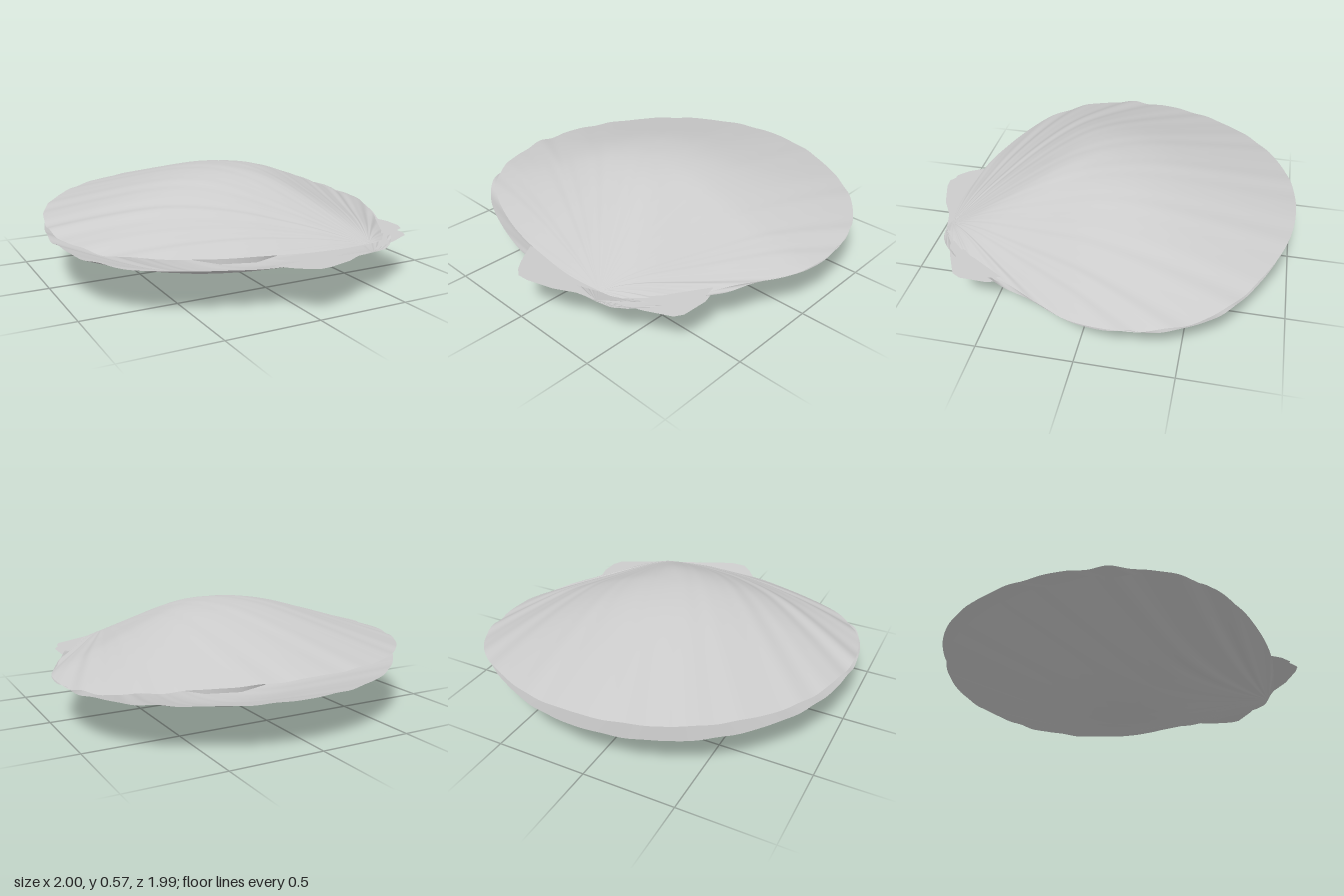
import * as THREE from 'three';

const CENTRE = [0, 0.05]; // x, z of the highest point of the dome

// Rim from the hinge round to the hinge: x, z, upper rim height, lower rim height
const RIM = [
  [0.4, 0.82, 0.27, 0.235], [0.2, 0.84, 0.275, 0.235], [0, 0.825, 0.28, 0.235],
  [-0.2, 0.8, 0.285, 0.237], [-0.45, 0.73, 0.29, 0.242], [-0.68, 0.63, 0.295, 0.252],
  [-0.85, 0.5, 0.303, 0.265], [-0.95, 0.33, 0.315, 0.278], [-1, 0.1, 0.33, 0.285],
  [-0.98, -0.1, 0.34, 0.285], [-0.93, -0.3, 0.345, 0.28], [-0.82, -0.52, 0.35, 0.275],
  [-0.65, -0.72, 0.36, 0.265], [-0.45, -0.87, 0.365, 0.26], [-0.2, -0.97, 0.37, 0.258],
  [0.05, -1, 0.37, 0.258], [0.3, -0.97, 0.36, 0.258], [0.55, -0.87, 0.345, 0.26],
  [0.78, -0.72, 0.318, 0.262], [0.93, -0.52, 0.288, 0.263], [0.99, -0.3, 0.27, 0.262],
  [1, -0.17, 0.263, 0.258], [0.98, 0, 0.26, 0.256], [0.88, 0.22, 0.257, 0.253],
  [0.77, 0.42, 0.255, 0.25], [0.66, 0.61, 0.258, 0.245], [0.58, 0.72, 0.263, 0.24],
  [0.48, 0.8, 0.268, 0.235], [0.4, 0.82, 0.27, 0.235],
];

// Smooth rim curve of one valve; the lower one is a little fuller in front, shorter behind
function rimPoints(upper, n) {
  const pts = RIM.map(([x, z, yu, yl]) => {
    if (upper) return new THREE.Vector3(x, yu, z);
    const k = 1 + 0.04 * THREE.MathUtils.smoothstep(z, 0.1, 0.6);
    return new THREE.Vector3(x * k, yl, z < 0 ? z * 0.965 : z * k);
  });
  return new THREE.CatmullRomCurve3(pts).getPoints(n);
}

// Returns a lookup of rim radius and height by angle about the dome centre
function rimLookup(rim) {
  const table = rim.slice(0, -1).map((p) => {
    const dx = p.x - CENTRE[0], dz = p.z - CENTRE[1];
    return { a: Math.atan2(dz, dx), r: Math.hypot(dx, dz), y: p.y };
  }).sort((p, q) => p.a - q.a);
  const first = table[0], last = table[table.length - 1];
  table.unshift({ ...last, a: last.a - 2 * Math.PI });
  table.push({ ...first, a: first.a + 2 * Math.PI });
  return (a) => {
    let i = 1;
    while (i < table.length - 1 && table[i].a < a) i++;
    const p = table[i - 1], q = table[i];
    const t = (a - p.a) / (q.a - p.a || 1);
    return { r: p.r + (q.r - p.r) * t, y: p.y + (q.y - p.y) * t };
  };
}

// Straight flanks that round off into a flat top: 1 at the centre, 0 at the rim
function domeProfile(r) {
  const flank = 1.25 * Math.max(1 - r, 1e-6);
  return flank / Math.pow(1 + Math.pow(flank, 8), 1 / 8);
}

// Domed fan of ribs spreading from the hinge
function valveGeometry(upper) {
  const N = 320, M = 40;
  const rim = rimPoints(upper, N);
  const lookup = rimLookup(rim);
  const apex = upper ? 0.579 : 0.001;
  const { x: hx, z: hz } = rim[0];
  const pos = [], index = [];
  for (let i = 0; i <= N; i++) {
    const p = rim[i];
    const phi = Math.atan2(hz - p.z, hx - p.x); // direction of this rib
    const side = THREE.MathUtils.smoothstep(phi, 0.1, 0.35) - THREE.MathUtils.smoothstep(phi, 0.5, 0.85)
      + 0.8 * THREE.MathUtils.smoothstep(phi, 1.65, 1.95);
    const spread = Math.min(1, Math.hypot(p.x - hx, p.z - hz) / 0.8);
    const ripple = (Math.sin(phi * 42) + 0.5 * Math.sin(phi * 67)) * (0.002 + 0.004 * side) * spread;
    for (let j = 0; j <= M; j++) {
      const s = j / M;
      const x = hx + (p.x - hx) * s, z = hz + (p.z - hz) * s;
      const dx = x - CENTRE[0], dz = z - CENTRE[1];
      const edge = lookup(Math.atan2(dz, dx));
      const dome = domeProfile(Math.hypot(dx, dz) / edge.r);
      const rib = ripple * Math.min(1, s * 1.5) * (1 - 0.6 * dome);
      const y = edge.y + (apex - edge.y) * dome + (upper ? rib : -rib);
      pos.push(x, Math.max(0, y), z);
      if (i < N && j < M) {
        const a = i * (M + 1) + j, b = a + M + 1;
        // the first row meets in a single point at the hinge
        const faces = j ? [[a, a + 1, b], [b, a + 1, b + 1]] : [[a, a + 1, b + 1]];
        for (const [u, v, w] of faces) index.push(...(upper ? [u, w, v] : [u, v, w]));
      }
    }
  }
  const g = new THREE.BufferGeometry();
  g.setAttribute('position', new THREE.Float32BufferAttribute(pos, 3));
  g.setIndex(index);
  g.computeVertexNormals();
  return g;
}

// Thin wing beside the hinge, given as x, z corners; its outer tip lifts slightly
function earGeometry(points, y) {
  const shape = new THREE.Shape(points.map(([x, z]) => new THREE.Vector2(x, z)));
  const g = new THREE.ShapeGeometry(shape);
  g.rotateX(Math.PI / 2);
  const p = g.attributes.position;
  for (let i = 0; i < p.count; i++) p.setY(i, y + 0.08 * Math.max(0, p.getZ(i) - 0.8));
  g.computeVertexNormals();
  return g;
}

const EARS = {
  upper: {
    front: [[0.4, 0.82], [0.2, 0.9], [0.07, 0.95], [-0.02, 0.95], [-0.08, 0.9], [-0.15, 0.8], [0, 0.8], [0.2, 0.81]],
    side: [[0.4, 0.82], [0.55, 0.755], [0.75, 0.65], [0.775, 0.6], [0.78, 0.5], [0.76, 0.42], [0.65, 0.6], [0.56, 0.72]],
  },
  lower: {
    front: [[0.41, 0.85], [0.3, 0.88], [0.2, 0.94], [0.06, 0.985], [0, 0.99], [-0.05, 0.955], [-0.1, 0.9], [-0.15, 0.82], [0, 0.82], [0.2, 0.83]],
    side: [[0.41, 0.85], [0.5, 0.795], [0.62, 0.75], [0.75, 0.685], [0.775, 0.64], [0.78, 0.5], [0.76, 0.43], [0.65, 0.6], [0.56, 0.72]],
  },
};

export function createModel() {
  const model = new THREE.Group();
  model.name = 'scallopShell';
  const material = new THREE.MeshStandardMaterial({ color: 0xcccccc, side: THREE.DoubleSide });
  const add = (parent, name, geometry) => {
    const mesh = new THREE.Mesh(geometry, material);
    mesh.name = name;
    parent.add(mesh);
    return mesh;
  };
  for (const which of ['upper', 'lower']) {
    const upper = which === 'upper';
    const valve = new THREE.Group();
    valve.name = which + 'Valve';
    add(valve, which + 'Dome', valveGeometry(upper));
    for (const ear of ['front', 'side']) {
      add(valve, `${which}${ear === 'front' ? 'Front' : 'Side'}Ear`, earGeometry(EARS[which][ear], upper ? 0.266 : 0.236));
    }
    model.add(valve);
  }
  // Muscle joining the two valves inside
  const muscle = add(model, 'innerMuscle', new THREE.CylinderGeometry(0.32, 0.32, 0.36, 10, 1, true));
  muscle.position.set(0.02, 0.28, CENTRE[1]);
  return model;
}
